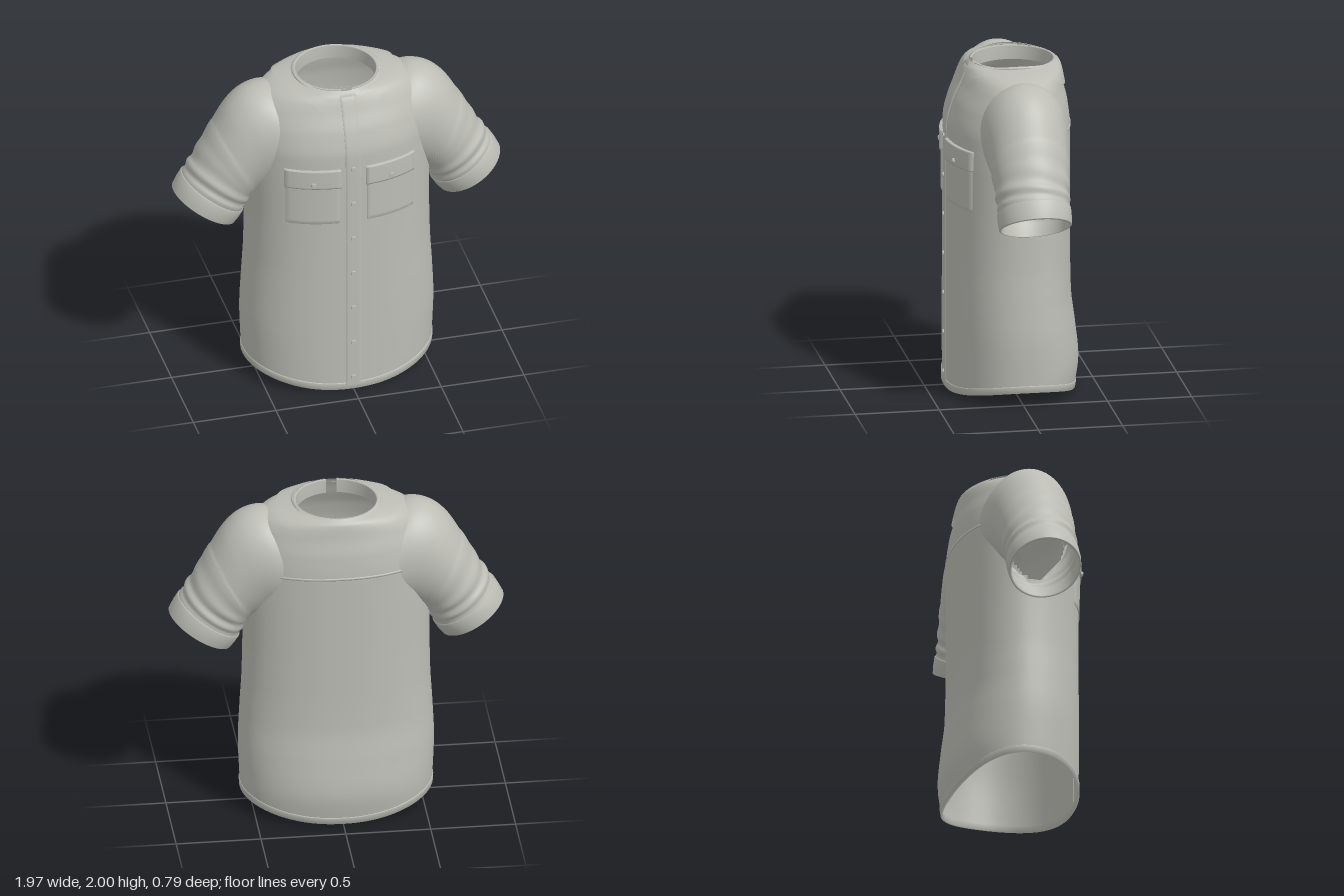
import * as THREE from 'three';
import { mergeVertices } from 'three/addons/utils/BufferGeometryUtils.js';

const { lerp, smoothstep } = THREE.MathUtils;
const Z0 = -0.015;

// Smooth monotone interpolation of column c in rows sorted by their first entry
function sample(rows, x, c) {
  const last = rows.length - 1;
  if (x <= rows[0][0]) return rows[0][c];
  if (x >= rows[last][0]) return rows[last][c];
  let i = 0;
  while (rows[i + 1][0] < x) i++;
  const slope = (k) => (rows[k + 1][c] - rows[k][c]) / (rows[k + 1][0] - rows[k][0]);
  const tangent = (k) => {
    if (k === 0 || k === last) return slope(Math.min(k, last - 1));
    const a = slope(k - 1), b = slope(k);
    return a * b <= 0 ? 0 : (2 * a * b) / (a + b);
  };
  const h = rows[i + 1][0] - rows[i][0], t = (x - rows[i][0]) / h, t2 = t * t, t3 = t2 * t;
  return (2 * t3 - 3 * t2 + 1) * rows[i][c] + (t3 - 2 * t2 + t) * h * tangent(i)
    + (3 * t2 - 2 * t3) * rows[i + 1][c] + (t3 - t2) * h * tangent(i + 1);
}

// Torso profile: height, half width, front z, back z
const TORSO = [
  [0, 0.555, 0.378, -0.37], [0.2, 0.568, 0.378, -0.398], [0.4, 0.575, 0.378, -0.378],
  [0.62, 0.566, 0.378, -0.352], [0.85, 0.553, 0.378, -0.348], [1.15, 0.548, 0.378, -0.348],
  [1.4, 0.55, 0.378, -0.348], [1.6, 0.545, 0.374, -0.348], [1.75, 0.53, 0.34, -0.335],
  [1.86, 0.5, 0.29, -0.31], [1.92, 0.45, 0.265, -0.3], [1.95, 0.39, 0.25, -0.293],
  [1.965, 0.33, 0.243, -0.286], [1.98, 0.25, 0.23, -0.275],
];
const section = (y) => ({
  w: sample(TORSO, y, 1), f: sample(TORSO, y, 2) - Z0, b: Z0 - sample(TORSO, y, 3),
  n: 2.2 - 0.2 * smoothstep(y, 1.6, 1.95),
});

// Point on the torso; angle 0 is the front centre, growing toward +x
function torsoPoint(a, y, off = 0) {
  const { w, f, b, n } = section(y), s = Math.sin(a), c = Math.cos(a);
  const p = (v) => Math.sign(v) * Math.abs(v) ** (2 / n);
  return [p(s) * w + s * off, y, Z0 + p(c) * (c > 0 ? f : b) + c * off];
}
function insideTorso([x, y, z]) {
  const { w, f, b, n } = section(y);
  return y < 1.98 && (Math.abs(x) / w) ** n + (Math.abs(z - Z0) / (z > Z0 ? f : b)) ** n < 1;
}
function torsoZ(x, y, side) {
  const { w, f, b, n } = section(y);
  return Z0 + side * (side > 0 ? f : b) * Math.max(0, 1 - (Math.abs(x) / w) ** n) ** (1 / n);
}
const hemY = (a) => 0.004 + 0.094 * Math.abs(Math.sin(a)) ** 1.9;

// Sleeve: top line (its z holds the half depth) and bottom line
const TOP = new THREE.CatmullRomCurve3([
  [0.34, 1.93, 0.27], [0.46, 1.952, 0.262], [0.56, 1.925, 0.25], [0.65, 1.85, 0.238],
  [0.75, 1.69, 0.226], [0.865, 1.49, 0.216], [0.925, 1.388, 0.21], [0.98, 1.288, 0.206],
].map((p) => new THREE.Vector3(...p)));
const BOTTOM = new THREE.CatmullRomCurve3([
  [0.25, 1.3], [0.33, 1.3], [0.4, 1.3], [0.45, 1.28],
  [0.5, 1.27], [0.535, 1.225], [0.575, 1.147], [0.628, 1.072],
].map(([x, y]) => new THREE.Vector3(x, y, 0)));
const SLEEVE_Z = -0.018;
function sleeveRing(t) {
  const T = TOP.getPoint(t), B = BOTTOM.getPoint(t);
  return { mx: (T.x + B.x) / 2, my: (T.y + B.y) / 2, ax: (T.x - B.x) / 2, ay: (T.y - B.y) / 2, hz: T.z };
}
function sleevePoint(t, a, off = 0) {
  const r = sleeveRing(t), k = 1 + off / Math.hypot(r.ax, r.ay), c = Math.cos(a) * k;
  return [r.mx + r.ax * c, r.my + r.ay * c, SLEEVE_Z + (r.hz + off) * Math.sin(a)];
}
// Soft creases above the cuff and a raised seam across the upper arm
function sleeveRelief(t, a) {
  const fold = smoothstep(t, 0.6, 0.72) * (1 - smoothstep(t, 0.8, 0.86));
  return 0.006 * fold * Math.sin(t * 60 + 2 * Math.sin(a)) + 0.004 * smoothstep(t, 0.555, 0.565) - 0.004 * smoothstep(t, 0.59, 0.63);
}
const RINGS = Array.from({ length: 41 }, (_, i) => sleeveRing(i / 40));
function insideSleeve([px, y, z]) {
  const x = Math.abs(px);
  if (x < 0.2 || y < 1) return false;
  const ahead = (r) => (x - r.mx) * r.ay - (y - r.my) * r.ax;
  if (ahead(RINGS[0]) < 0) return false;
  const r = RINGS.find((q) => ahead(q) < 0);
  if (!r) return false;
  const u = ((x - r.mx) * r.ax + (y - r.my) * r.ay) / (r.ax ** 2 + r.ay ** 2);
  return u * u + ((z - SLEEVE_Z) / r.hz) ** 2 < 0.98;
}

// Grid surface from fn(i, j); triangles wholly inside `cut` are left out
function grid(nu, nv, fn, cut) {
  const pos = [], index = [], gone = [];
  for (let j = 0; j <= nv; j++) for (let i = 0; i <= nu; i++) {
    const p = fn(i, j);
    pos.push(...p);
    gone.push(cut ? cut(p) : false);
  }
  const tri = (...t) => { if (!t.every((k) => gone[k])) index.push(...t); };
  for (let j = 0; j < nv; j++) for (let i = 0; i < nu; i++) {
    const a = j * (nu + 1) + i, d = a + nu + 1;
    tri(a, a + 1, d + 1);
    tri(a, d + 1, d);
  }
  let g = new THREE.BufferGeometry();
  g.setAttribute('position', new THREE.Float32BufferAttribute(pos, 3));
  g.setIndex(index);
  g = mergeVertices(g, 1e-5);
  g.computeVertexNormals();
  return g;
}

// Raised panel that follows the front (side 1) or back (side -1) of the torso
function panel(x0, x1, y0, y1, off, side = 1, nu = 16, nv = 16) {
  const step = (k, n, a, b) => lerp(a, b, Math.min(Math.max((k - 1) / (n - 2), 0), 1));
  return grid(nu, nv, (i, j) => {
    const x = step(i, nu, x0, x1), y = step(j, nv, y0, y1);
    const edge = i === 0 || j === 0 || i === nu || j === nv;
    return [x, y, torsoZ(x, y, side) + side * (edge ? -0.002 : off)];
  });
}

// Lower edge of the collar by angle from the front
const COLLAR = [[0.215, 1.82], [0.5, 1.925], [0.9, 1.955], [1.57, 1.963], [2.2, 1.94], [2.8, 1.858], [3.15, 1.85]];

export function createModel() {
  const shirt = new THREE.Group();
  shirt.name = 'shirt';
  const cloth = new THREE.MeshStandardMaterial({ color: 0xbdbdb6, side: THREE.DoubleSide });
  cloth.name = 'grey cloth';
  const add = (name, geo) => {
    const m = new THREE.Mesh(geo, cloth);
    m.name = name;
    shirt.add(m);
    return m;
  };
  const TAU = Math.PI * 2;

  // Torso with open armholes
  add('torso', grid(144, 100, (i, j) => {
    const a = (i % 144) / 144 * TAU, row = 1.98 * (1 - (1 - j / 100) ** 1.6);
    return torsoPoint(a, row + hemY(a) * Math.max(0, 1 - row / 0.5));
  }, insideSleeve));

  // Folded hem
  const hem = [[0, 0.042], [0.006, 0.038], [0.006, 0], [-0.008, 0], [-0.008, 0.04]];
  add('hem', grid(144, 4, (i, j) => {
    const a = (i % 144) / 144 * TAU;
    return torsoPoint(a, hemY(a) + hem[j][1], hem[j][0]);
  }));

  // Sleeves start where they leave the torso; cuffs are turned over
  const cuff = [[0.855, 0], [0.862, 0.008], [0.93, 0.01], [0.995, 0.008], [1, 0.004], [1, -0.008], [0.87, -0.008]];
  for (const side of [1, -1]) {
    const label = side > 0 ? 'left' : 'right';
    const mirror = ([x, y, z]) => [x * side, y, z];
    const start = Array.from({ length: 64 }, (_, i) => {
      const a = i / 64 * TAU;
      let t = 1;
      while (t > 0 && !insideTorso(sleevePoint(t, a))) t -= 0.002;
      return Math.max(t, 0);
    });
    add(label + 'Sleeve', grid(64, 90, (i, j) => {
      const a = (i % 64) / 64 * TAU, t = lerp(start[i % 64], 1, j / 90);
      return mirror(sleevePoint(t, a, sleeveRelief(t, a)));
    }));
    add(label + 'Cuff', grid(64, cuff.length - 1, (i, j) =>
      mirror(sleevePoint(cuff[j][0], (i % 64) / 64 * TAU, cuff[j][1]))));

    // Chest pocket and flap
    const xs = side > 0 ? [0.085, 0.385] : [-0.385, -0.085];
    add(label + 'Pocket', panel(...xs, 1.168, 1.5, 0.008));
    add(label + 'PocketFlap', panel(xs[0] - 0.008, xs[1] + 0.008, 1.415, 1.535, 0.018));
  }

  // Button placket and back yoke seam
  add('placket', panel(-0.045, 0.045, 0.01, 1.95, 0.006, 1, 8, 80));
  add('yokeSeam', panel(-0.4, 0.4, 1.615, 1.628, 0.004, -1, 40, 4));

  // Buttons
  const disc = new THREE.CylinderGeometry(0.014, 0.017, 0.012, 16).rotateX(Math.PI / 2);
  const button = (x, y, lift) => add('button', disc).position.set(x, y, torsoZ(x, y, 1) + lift);
  for (let k = 0; k < 7; k++) button(0, 0.085 + 0.2405 * k, 0.008);
  button(0.235, 1.442, 0.02);
  button(-0.235, 1.442, 0.02);

  // Turned-down collar, open at the front
  add('collar', grid(120, 16, (i, j) => {
    const v = j / 16, a0 = lerp(0.125, 0.215, v);
    const a = lerp(a0, TAU - a0, i / 120);
    const top = 1.984 + 0.016 * Math.abs(Math.sin(a)) ** 6;
    const y = lerp(top, sample(COLLAR, Math.min(a, TAU - a), 1), v);
    const p = torsoPoint(a, y, 0.012 * Math.min(1, v * 6));
    return [p[0], Math.min(p[1] + 0.005 * v, 2), p[2]];
  }));

  // Inner collar stand with a rolled top joining the collar
  const stand = [[0.25, 1.984], [0.24, 1.986], [0.235, 1.98], [0.235, 1.9]];
  add('collarStand', grid(96, 3, (i, j) => {
    const a = lerp(0.13, TAU - 0.13, i / 96), [r, y] = stand[j];
    return [Math.sin(a) * r, y, -0.026 + Math.cos(a) * r];
  }));

  return shirt;
}
